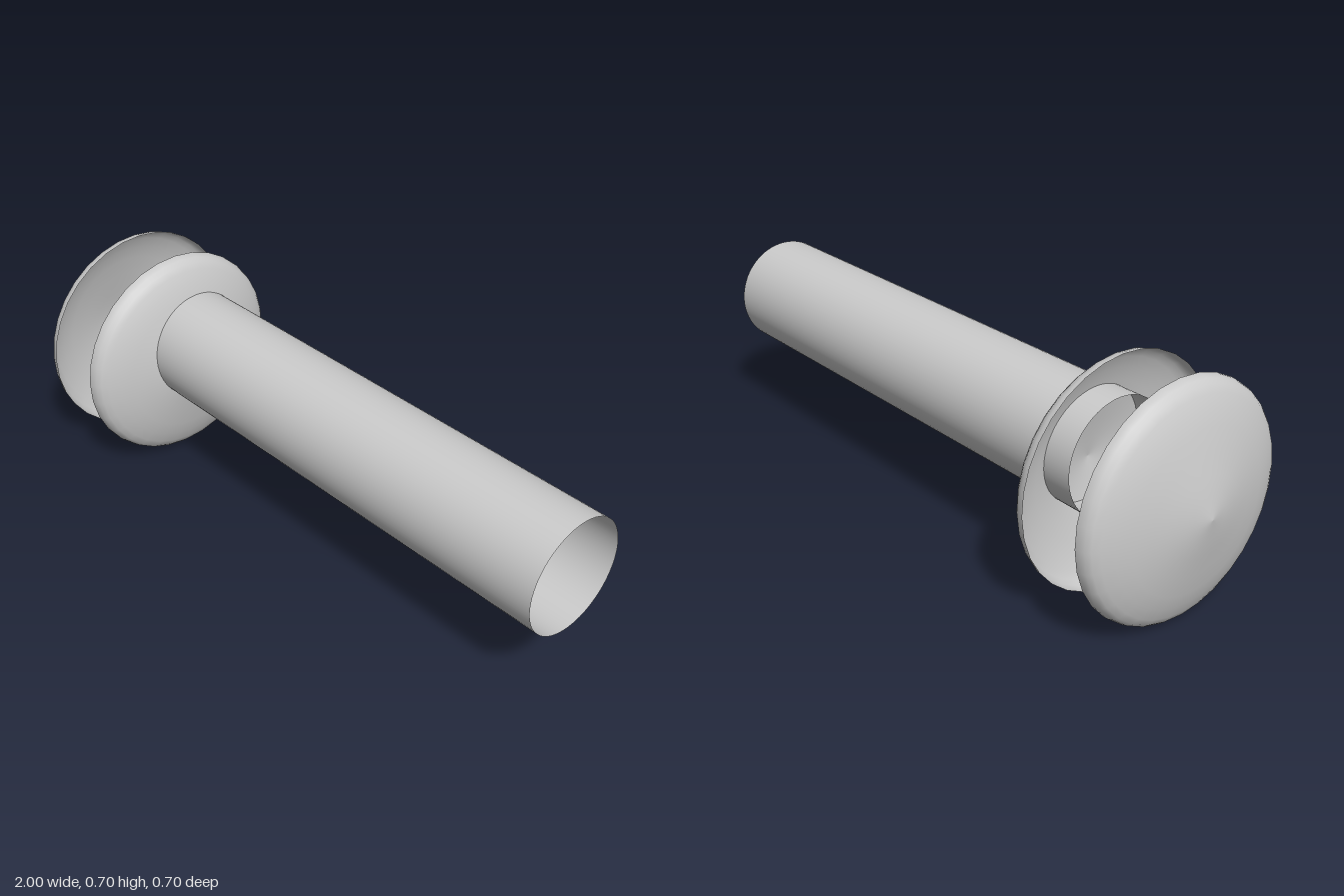
import * as THREE from 'three';

export function createModel() {
  const group = new THREE.Group();
  const material = new THREE.MeshStandardMaterial({ color: 0xcccccc, side: THREE.DoubleSide });

  // Hollow domed cap: [radius, height above the open rim]
  const profile = [
    [0.352, 0], [0.351, 0.012], [0.346, 0.028], [0.335, 0.041], [0.315, 0.053],
    [0.28, 0.067], [0.237, 0.081], [0.18, 0.094], [0.118, 0.109], [0.06, 0.121], [0, 0.131],
  ].map(([r, h]) => new THREE.Vector2(r, h));

  // dir is the side of x the dome points to
  function addCap(name, rimX, dir) {
    const geometry = new THREE.LatheGeometry(profile, 32, -dir * 0.042);
    geometry.rotateZ(-dir * Math.PI / 2);
    const cap = new THREE.Mesh(geometry, material);
    cap.name = name;
    cap.position.set(rimX, 0.353, 0);
    group.add(cap);
  }
  addCap('endCap', -0.869, -1);
  addCap('collarCap', -0.672, 1);

  // Open tube passing through the collar, slightly off its centre
  const tubeGeometry = new THREE.CylinderGeometry(0.177, 0.177, 1.683, 64, 1, true);
  tubeGeometry.rotateZ(-Math.PI / 2);
  const tube = new THREE.Mesh(tubeGeometry, material);
  tube.name = 'tube';
  tube.position.set(0.1585, 0.412, -0.026);
  group.add(tube);

  return group;
}
